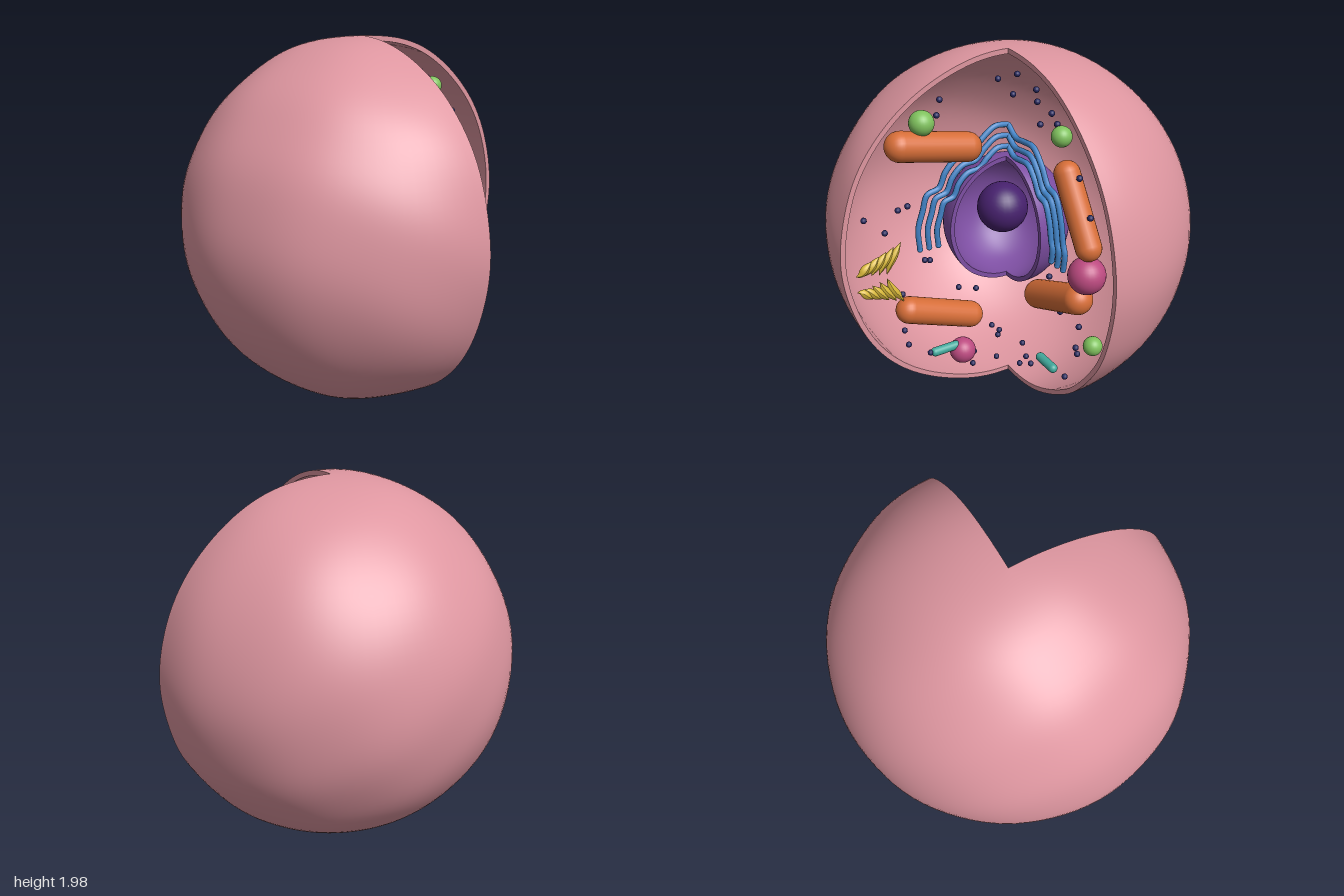
import * as THREE from 'three';

const V = (x, y, z) => new THREE.Vector3(x, y, z);

function material(name, color, side = THREE.FrontSide) {
  const m = new THREE.MeshStandardMaterial({ color, side });
  m.name = name;
  return m;
}

// Gentle lumpiness, a function of direction only, so walls and rims stay joined
function ripple(geo, amount) {
  const p = geo.attributes.position, v = V(0, 0, 0);
  for (let i = 0; i < p.count; i++) {
    v.fromBufferAttribute(p, i);
    const d = v.clone().normalize();
    const n = Math.sin(9 * d.x + 4 * d.y) * Math.sin(8 * d.y - 3 * d.z) + Math.sin(11 * d.z + 5 * d.x) * 0.6;
    v.multiplyScalar(1 + amount * n);
    p.setXYZ(i, v.x, v.y, v.z);
  }
  geo.computeVertexNormals();
  return geo;
}

// Thick hollow ball with the +x +z quarter removed
function cutShell(name, outer, inner, mat, bump) {
  const g = new THREE.Group();
  g.name = name;
  const add = (part, geo) => {
    const m = new THREE.Mesh(ripple(geo, bump), mat);
    m.name = name + part;
    g.add(m);
  };
  for (const [part, r] of [['Outside', outer], ['Inside', inner]])
    add(part, new THREE.SphereGeometry(r, 72, 64, Math.PI, Math.PI * 1.5));
  add('RimFront', new THREE.RingGeometry(inner, outer, 64, 1, -Math.PI / 2, Math.PI));
  add('RimSide', new THREE.RingGeometry(inner, outer, 64, 1, Math.PI / 2, Math.PI).rotateY(Math.PI / 2));
  return g;
}

// Tube thinned to a point at both ends
function crescent(points, radius) {
  const curve = new THREE.CatmullRomCurve3(points);
  const geo = new THREE.TubeGeometry(curve, 14, radius, 10);
  const p = geo.attributes.position, uv = geo.attributes.uv, v = V(0, 0, 0);
  for (let i = 0; i < p.count; i++) {
    const u = uv.getX(i);
    v.fromBufferAttribute(p, i);
    v.lerp(curve.getPointAt(u), 1 - Math.max(0.03, Math.sin(Math.PI * u)));
    p.setXYZ(i, v.x, v.y, v.z);
  }
  geo.computeVertexNormals();
  return geo;
}

export function createModel() {
  const model = new THREE.Group();
  model.name = 'cellCutaway';
  const pink = material('membranePink', 0xde96a0, THREE.DoubleSide);
  const purple = material('nucleusPurple', 0x7e4fa3, THREE.DoubleSide);
  const violet = material('nucleolusViolet', 0x47216e);
  const orange = material('mitochondrionOrange', 0xd76e38);
  const blue = material('golgiBlue', 0x4183c6);
  const green = material('vacuoleGreen', 0x80c25e);
  const magenta = material('lysosomeMagenta', 0xbc4a80);
  const yellow = material('stackYellow', 0xd8b83a);
  const teal = material('rodTeal', 0x42a99c);
  const navy = material('ribosomeNavy', 0x27285f);

  const add = (name, geo, mat) => {
    const m = new THREE.Mesh(geo, mat);
    m.name = name;
    model.add(m);
    return m;
  };
  // The two cut planes: (a, y) lies on z = 0 or on x = 0
  const front = (a, y) => V(a, y, 0);
  const side = (a, y) => V(0, y, a);

  const ball = (name, c, r, mat) =>
    add(name, new THREE.SphereGeometry(r, 28, 20), mat).position.copy(c);
  const capsule = (name, a, b, r, mat) => {
    const m = add(name, new THREE.CapsuleGeometry(r, a.distanceTo(b), 10, 24), mat);
    m.position.copy(a).add(b).multiplyScalar(0.5);
    m.quaternion.setFromUnitVectors(V(0, 1, 0), b.clone().sub(a).normalize());
  };

  // Outer membrane
  const membrane = cutShell('membrane', 0.994, 0.966, pink, 0.004);
  membrane.position.y = 1;
  model.add(membrane);

  // Nucleus and nucleolus
  const nucleus = cutShell('nucleus', 0.347, 0.322, purple, 0.003);
  nucleus.position.set(0.028, 1.047, 0.028);
  nucleus.scale.y = 1.055;
  model.add(nucleus);
  ball('nucleolus', V(0.088, 1.155, 0.088), 0.137, violet);

  // Mitochondria
  capsule('mitochondrion', front(0.555, 1.505), front(0.755, 1.185), 0.067, orange);
  capsule('mitochondrion', front(0.325, 0.705), front(0.68, 0.855), 0.08, orange);
  capsule('mitochondrion', side(0.63, 1.585), side(0.25, 1.505), 0.08, orange);
  capsule('mitochondrion', side(0.625, 0.63), side(0.255, 0.485), 0.075, orange);

  // Round and rod-shaped bodies
  ball('lysosome', front(0.75, 1.03), 0.097, magenta);
  ball('lysosome', side(0.305, 0.257), 0.075, magenta);
  ball('vacuole', front(0.5, 1.68), 0.053, green);
  ball('vacuole', front(0.825, 0.655), 0.05, green);
  ball('vacuole', side(0.505, 1.685), 0.066, green);
  capsule('rod', front(0.35, 0.305), front(0.475, 0.305), 0.026, teal);
  capsule('rod', side(0.35, 0.305), side(0.48, 0.305), 0.026, teal);

  // Golgi folds: nested wavy tubes on each cut plane
  const folds = [
    [front, [[0, 1.58], [0.08, 1.53], [0.16, 1.535], [0.25, 1.535], [0.33, 1.46], [0.39, 1.37],
      [0.46, 1.345], [0.51, 1.24], [0.54, 1.1], [0.555, 1.06], [0.545, 0.96]]],
    [side, [[0, 1.58], [0.08, 1.585], [0.16, 1.53], [0.22, 1.47], [0.31, 1.455], [0.38, 1.39],
      [0.42, 1.31], [0.49, 1.285], [0.52, 1.2], [0.55, 1.1], [0.545, 0.98]]],
  ];
  for (const [plane, path] of folds)
    for (const s of [1, 0.9, 0.8]) {
      const curve = new THREE.CatmullRomCurve3(path.map(([a, y]) => plane(a * s, 0.96 + (y - 0.96) * s)));
      add('golgiFold', new THREE.TubeGeometry(curve, 64, 0.016, 8), blue);
      const end = curve.getPoint(1);
      ball('golgiFoldEnd', end, 0.016, blue);
    }

  // Stack of crescents, mirrored above and below its middle
  for (let i = 0; i < 5; i++)
    for (const up of [1, -1]) {
      const z = 0.905 - 0.043 * i, h = 0.1 + 0.017 * i, y = 0.875 + up * 0.012;
      add('stackCrescent', crescent([
        side(z + 0.01, y + up * 0.035 * (1 - i / 4)), side(z - 0.015, y + up * h * 0.4),
        side(z - 0.05, y + up * h * 0.72), side(z - 0.08, y + up * h),
      ], 0.023), yellow);
    }

  // Ribosomes
  const frontDots = [[0.09, 1.88], [0.27, 1.85], [0.28, 1.79], [0.41, 1.77], [0.46, 1.73], [0.31, 1.68],
    [0.05, 1.76], [0.66, 1.52], [0.76, 1.35], [0.66, 1.17], [0.47, 1.48], [0.42, 0.86], [0.53, 0.7],
    [0.7, 0.7], [0.68, 0.56], [0.695, 0.53], [0.59, 0.32], [0.16, 0.29], [0.2, 0.22], [0.25, 0.2], [0.13, 0.13]];
  const sideDots = [[0.4, 1.79], [0.42, 1.71], [0.06, 1.84], [0.85, 1.23], [0.66, 1.24], [0.605, 1.25],
    [0.74, 1.13], [0.52, 0.91], [0.49, 0.9], [0.32, 0.68], [0.21, 0.64], [0.66, 0.74], [0.64, 0.59],
    [0.66, 0.51], [0.64, 0.41], [0.51, 0.31], [0.11, 0.36], [0.06, 0.31], [0.07, 0.28], [0.24, 0.14],
    [0.08, 0.13], [0.23, 0.22]];
  const dot = new THREE.IcosahedronGeometry(0.017, 1);
  for (const [plane, dots] of [[front, frontDots], [side, sideDots]])
    for (const [a, y] of dots) add('ribosome', dot, navy).position.copy(plane(a, y));

  return model;
}
